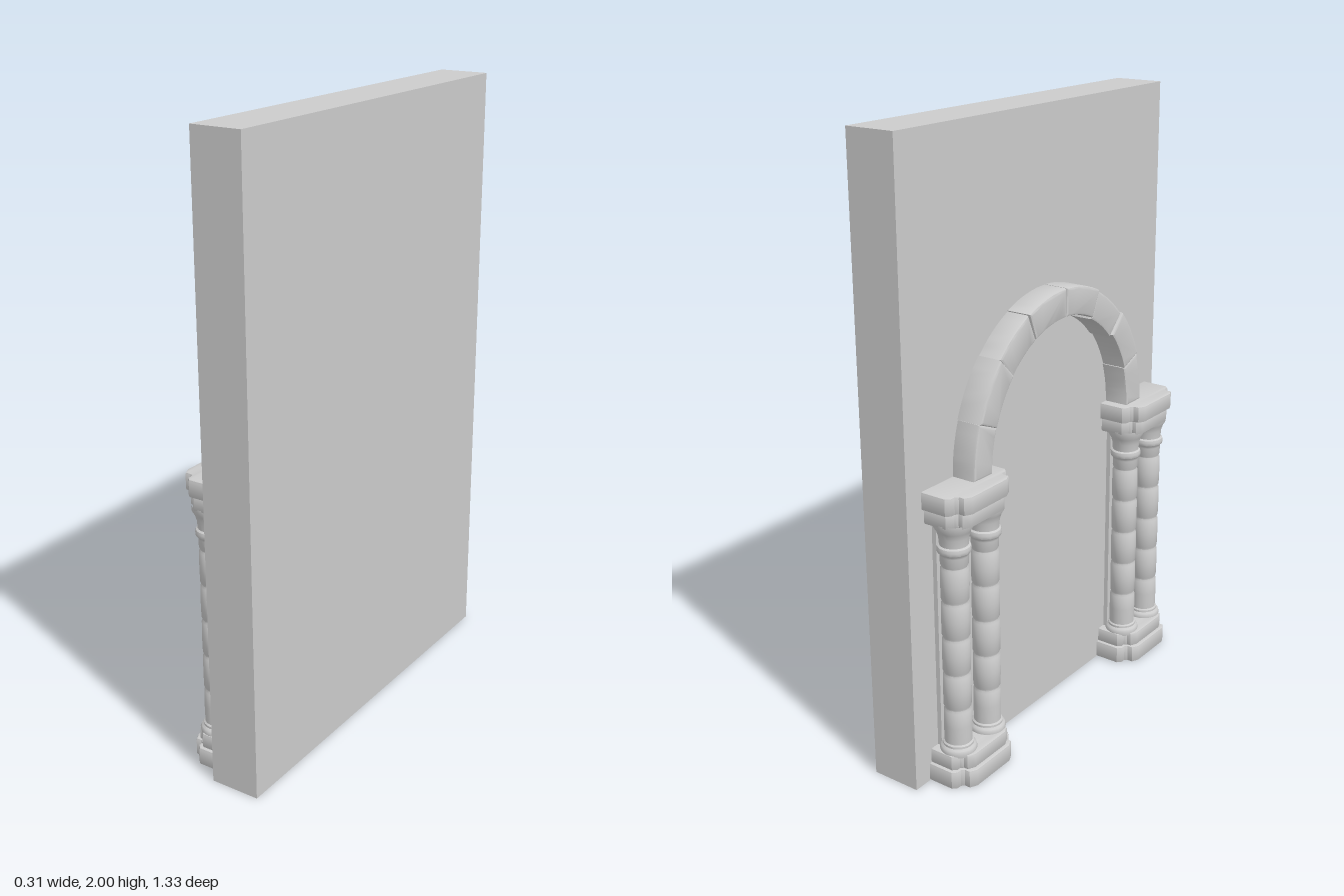
import * as THREE from 'three';
import { toCreasedNormals } from 'three/addons/utils/BufferGeometryUtils.js';

const mat = new THREE.MeshStandardMaterial({ color: 0xcccccc });
const WALL = -0.015; // decorated face of the wall

function add(parent, name, geo, x = 0, y = 0, z = 0) {
  const m = new THREE.Mesh(geo, mat);
  m.name = name;
  m.position.set(x, y, z);
  parent.add(m);
  return m;
}

// Notched slab, standing out from the wall: wide at the back, narrower in front
function slab(front, step, halfBack, halfFront, height) {
  const b = 0.006;
  const f = front + b, s = step + b, hb = halfBack - b, hf = halfFront - b, c = 0.01;
  const half = [[0.01, hb], [s + c, hb], [s, hb - c], [s, hf + 0.012], [s - 0.012, hf], [f + c, hf], [f, hf - c * 2]];
  const pts = [...half, ...half.slice().reverse().map(([x, z]) => [x, -z])];
  const geo = new THREE.ExtrudeGeometry(new THREE.Shape(pts.map(p => new THREE.Vector2(...p))), {
    depth: height - 2 * b, bevelEnabled: true, bevelSize: b, bevelThickness: b, bevelSegments: 2,
  });
  geo.translate(0, 0, b);
  geo.rotateX(-Math.PI / 2);
  return toCreasedNormals(geo, 0.6);
}

// Column profile: base rings, drums with worn joints, neck ring, flared capital
function columnGeometry() {
  const r = 0.043;
  const p = [[0.056, 0.1], [0.058, 0.112], [0.055, 0.122], [0.048, 0.127], [0.048, 0.134], [r, 0.138]];
  for (const y of [0.255, 0.375, 0.495, 0.615, 0.73]) {
    p.push([r + 0.001, y - 0.06], [r, y - 0.008], [r - 0.004, y - 0.001], [r - 0.004, y + 0.001], [r, y + 0.008]);
  }
  p.push([r, 0.765], [0.045, 0.772], [0.051, 0.778], [0.052, 0.788], [0.05, 0.796], [0.044, 0.8],
    [0.046, 0.825], [0.052, 0.845], [0.06, 0.858], [0.061, 0.875]);
  return toCreasedNormals(new THREE.LatheGeometry(p.map(q => new THREE.Vector2(...q)), 24), 0.7);
}

function createPier(name, z) {
  const pier = new THREE.Group();
  pier.name = name;
  pier.position.z = z;
  add(pier, 'plinth', slab(-0.155, -0.115, 0.143, 0.106, 0.06));
  add(pier, 'upperPlinth', slab(-0.143, -0.108, 0.133, 0.1, 0.05), 0, 0.058);
  const column = columnGeometry();
  for (const s of [-1, 1]) add(pier, 'column', column, -0.075, 0, s * 0.073);
  add(pier, 'backing', new THREE.BoxGeometry(0.03, 0.78, 0.2), -0.015, 0.49, 0);
  add(pier, 'lowerAbacus', slab(-0.143, -0.108, 0.133, 0.1, 0.05), 0, 0.866);
  add(pier, 'abacus', slab(-0.155, -0.115, 0.143, 0.106, 0.057), 0, 0.913);
  return pier;
}

// Curved block between two arch angles, extruded out from the wall
function archBlock(a0, a1, inner, outer, depth, b) {
  const pts = [], n = 6;
  const put = (r, a) => pts.push(new THREE.Vector2(r * Math.cos(a), r * 1.06 * Math.sin(a)));
  for (let i = 0; i <= n; i++) put(outer - b, a0 + (a1 - a0) * i / n);
  for (let i = n; i >= 0; i--) put(inner + b, a0 + (a1 - a0) * i / n);
  const geo = new THREE.ExtrudeGeometry(new THREE.Shape(pts), {
    depth: depth - 2 * b, bevelEnabled: b > 0, bevelSize: b, bevelThickness: b, bevelSegments: 2,
  });
  geo.translate(0, 0, b);
  geo.rotateY(-Math.PI / 2);
  return toCreasedNormals(geo, 0.5);
}

function createArch() {
  const arch = new THREE.Group();
  arch.name = 'arch';
  arch.position.set(0.01, 0.968, 0);
  // Uneven stones with a recessed mortar band behind the joints
  const cuts = [0, 0.36, 0.76, 1.14, 1.55, 1.98, 2.36, 2.78, Math.PI];
  for (let i = 0; i < cuts.length - 1; i++) {
    const wear = 0.004 * Math.sin(i * 2.3);
    add(arch, 'voussoir', archBlock(cuts[i] + 0.018, cuts[i + 1] - 0.018, 0.368 + wear, 0.456 + wear * 0.5, 0.108 + wear, 0.008));
  }
  add(arch, 'mortar', archBlock(0, Math.PI / 2, 0.375, 0.449, 0.1, 0));
  add(arch, 'mortar', archBlock(Math.PI / 2, Math.PI, 0.375, 0.449, 0.1, 0));
  return arch;
}

export function createModel() {
  const model = new THREE.Group();
  model.name = 'archedWall';
  add(model, 'wall', new THREE.BoxGeometry(0.15 - WALL, 2, 1.33), (0.15 + WALL) / 2, 1, 0);
  model.add(createPier('leftPier', 0.478), createPier('rightPier', -0.457), createArch());
  return model;
}
